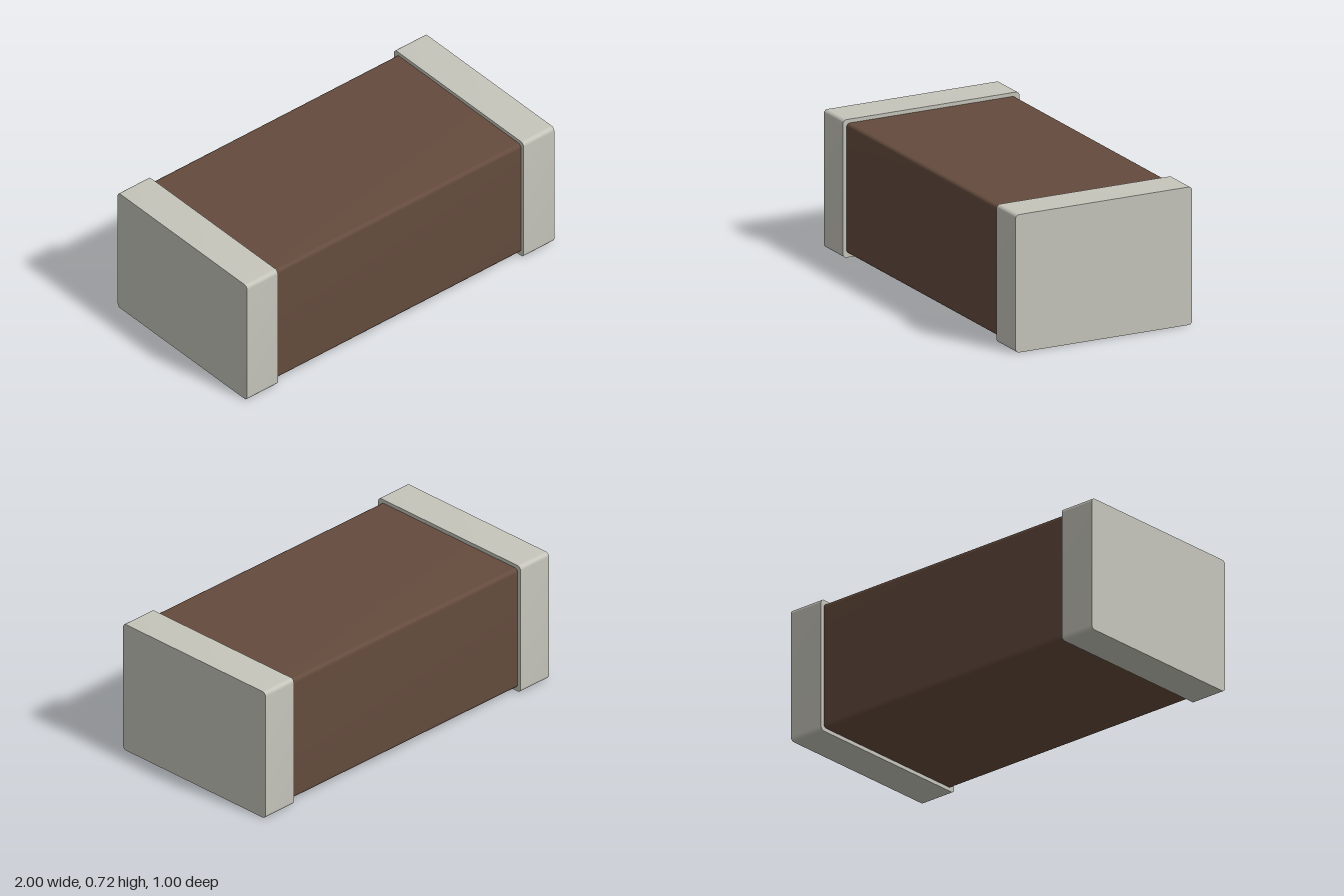
import * as THREE from 'three';
import { toCreasedNormals } from 'three/addons/utils/BufferGeometryUtils.js';

// Block running along x, with rounded long edges and sharp, flat ends
function roundedBar(length, height, depth, r) {
  const w = depth / 2, h = height / 2;
  const s = new THREE.Shape();
  s.moveTo(-w + r, -h);
  s.lineTo(w - r, -h);
  s.absarc(w - r, -h + r, r, -Math.PI / 2, 0);
  s.lineTo(w, h - r);
  s.absarc(w - r, h - r, r, 0, Math.PI / 2);
  s.lineTo(-w + r, h);
  s.absarc(-w + r, h - r, r, Math.PI / 2, Math.PI);
  s.lineTo(-w, -h + r);
  s.absarc(-w + r, -h + r, r, Math.PI, Math.PI * 1.5);
  const geo = new THREE.ExtrudeGeometry(s, { depth: length, bevelEnabled: false, curveSegments: 8 });
  geo.translate(0, 0, -length / 2).rotateY(Math.PI / 2);
  return toCreasedNormals(geo, 0.6);
}

export function createModel() {
  const model = new THREE.Group();
  model.name = 'chipCapacitor';
  const ceramic = new THREE.MeshStandardMaterial({ color: 0x644b3d });
  const metal = new THREE.MeshStandardMaterial({ color: 0xc6c5bb });

  const add = (name, geometry, material, x) => {
    const mesh = new THREE.Mesh(geometry, material);
    mesh.name = name;
    mesh.position.set(x, 0.36, 0);
    model.add(mesh);
  };

  // Ceramic body between the terminals
  add('body', roundedBar(1.6, 0.68, 0.96, 0.02), ceramic, 0);

  // Metal end caps, slightly proud of the body
  const cap = roundedBar(0.2, 0.72, 1, 0.02);
  add('leftTerminal', cap, metal, 0.9);
  add('rightTerminal', cap, metal, -0.9);

  return model;
}
